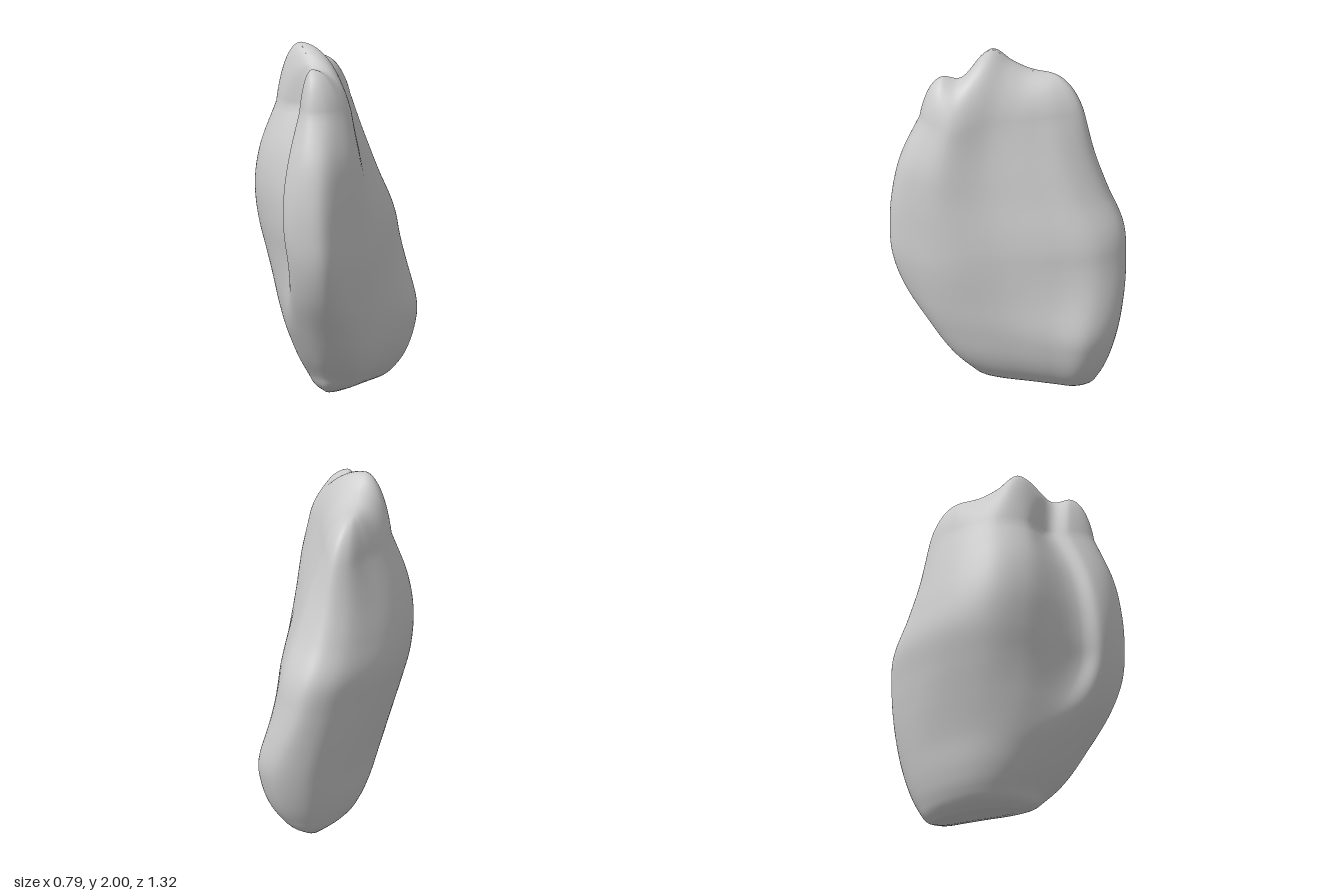
import * as THREE from 'three';

const SEG = 120; // points round each ring

// Key outlines (x, z), running front, left side, back, right side, fold
const LOW = [[0.14, 0.38], [0.24, 0.36], [0.305, 0.285], [0.33, 0.13], [0.318, -0.1], [0.312, -0.3], [0.295, -0.49],
  [0.16, -0.6], [-0.01, -0.58], [-0.12, -0.46], [-0.185, -0.27], [-0.205, -0.05], [-0.17, 0.12], [-0.09, 0.25], [0.03, 0.34]];
const MID = [[0.16, 0.66], [0.29, 0.64], [0.36, 0.48], [0.39, 0.28], [0.33, -0.02], [0.255, -0.3], [0.155, -0.53],
  [-0.01, -0.635], [-0.15, -0.58], [-0.295, -0.39], [-0.385, -0.17], [-0.39, 0.09], [-0.285, 0.275], [-0.01, 0.5], [0.03, 0.61]];
const HIGH = [[0.13, 0.51], [0.22, 0.48], [0.275, 0.4], [0.29, 0.29], [0.165, 0.08], [0.075, -0.12], [0.005, -0.27],
  [-0.085, -0.375], [-0.165, -0.34], [-0.225, -0.21], [-0.27, -0.05], [-0.265, 0.1], [-0.18, 0.24], [0, 0.3], [0.035, 0.42]];

// Smooth interpolation of table rows [t, ...values]
function table(rows) {
  const size = rows[0].length - 1;
  const curve = new THREE.CubicInterpolant(rows.map(r => r[0]), rows.flatMap(r => r.slice(1)), size, new Float32Array(size));
  return t => Array.from(curve.evaluate(t));
}

// Extent at each height: y, min x, max x, min z, max z
const extent = table([
  [0, -0.03, 0.09, -0.42, 0.09], [0.03, -0.08, 0.17, -0.47, 0.16], [0.1, -0.13, 0.25, -0.52, 0.22],
  [0.2, -0.17, 0.31, -0.57, 0.31], [0.4, -0.22, 0.358, -0.63, 0.45], [0.6, -0.28, 0.38, -0.655, 0.57],
  [0.8, -0.34, 0.393, -0.655, 0.64], [1, -0.39, 0.387, -0.63, 0.66], [1.2, -0.395, 0.375, -0.53, 0.65],
  [1.4, -0.36, 0.355, -0.45, 0.61], [1.65, -0.275, 0.295, -0.385, 0.508],
]);

// Crest along the top: z, x, y
const crest = table([
  [-0.17, -0.13, 1.87], [-0.05, -0.11, 1.885], [0.05, -0.095, 1.93], [0.15, -0.085, 2],
  [0.2, -0.05, 1.975], [0.28, 0.06, 1.885], [0.38, 0.1, 1.893],
]);

function mix(a, b, t) {
  return a.map((p, i) => [THREE.MathUtils.lerp(p[0], b[i][0], t), THREE.MathUtils.lerp(p[1], b[i][1], t)]);
}

// Horizontal outline at height y, fitted to its extent
function outline(y) {
  const keys = y < 0.9
    ? mix(LOW, MID, THREE.MathUtils.smoothstep(y, 0.35, 0.9))
    : mix(MID, HIGH, THREE.MathUtils.clamp((y - 0.9) / 0.75, 0, 1) ** 1.3);
  const curve = new THREE.CatmullRomCurve3(keys.map(([x, z]) => new THREE.Vector3(x, y, z)), true, 'centripetal');
  const pts = curve.getPoints(SEG).slice(0, SEG);
  const box = new THREE.Box3().setFromPoints(pts);
  const [x0, x1, z0, z1] = extent(y);
  for (const p of pts) {
    p.x = THREE.MathUtils.mapLinear(p.x, box.min.x, box.max.x, x0, x1);
    p.z = THREE.MathUtils.mapLinear(p.z, box.min.z, box.max.z, z0, z1);
  }
  return pts;
}

function bodyGeometry() {
  const rings = [];
  // Walls, with closer rings near the base
  for (let i = 0; i <= 60; i++) rings.push(outline(1.65 * Math.pow(i / 60, 1.35)));

  // Lobed crown: sloping shoulders that round over the crest
  const rim = rings[rings.length - 1];
  const start = 0.42;
  for (let j = 1; j <= 16; j++) {
    const a = THREE.MathUtils.lerp(start, Math.PI / 2, j / 16);
    const shrink = Math.cos(a) / Math.cos(start);
    const rise = (Math.sin(a) - Math.sin(start)) / (1 - Math.sin(start));
    rings.push(rim.map(p => {
      const z = THREE.MathUtils.clamp(p.z, -0.17, 0.38);
      const [x, y] = crest(z);
      return new THREE.Vector3(x + (p.x - x) * shrink, 1.65 + (y - 1.65) * rise, z + (p.z - z) * shrink);
    }));
  }

  const points = rings.flat();
  const index = [];
  for (let r = 0; r < rings.length - 1; r++) {
    for (let i = 0; i < SEG; i++) {
      const a = r * SEG + i, b = r * SEG + (i + 1) % SEG;
      index.push(a, b, b + SEG, a, b + SEG, a + SEG);
    }
  }
  // Base
  const centre = points.push(new THREE.Vector3(0.03, 0, -0.16)) - 1;
  for (let i = 0; i < SEG; i++) index.push(centre, (i + 1) % SEG, i);

  const geometry = new THREE.BufferGeometry().setFromPoints(points);
  geometry.setIndex(index);
  geometry.computeVertexNormals();
  return geometry;
}

export function createModel() {
  const group = new THREE.Group();
  const material = new THREE.MeshStandardMaterial({ color: 0xcccccc });
  const body = new THREE.Mesh(bodyGeometry(), material);
  body.name = 'lobedBody';
  group.add(body);
  return group;
}
